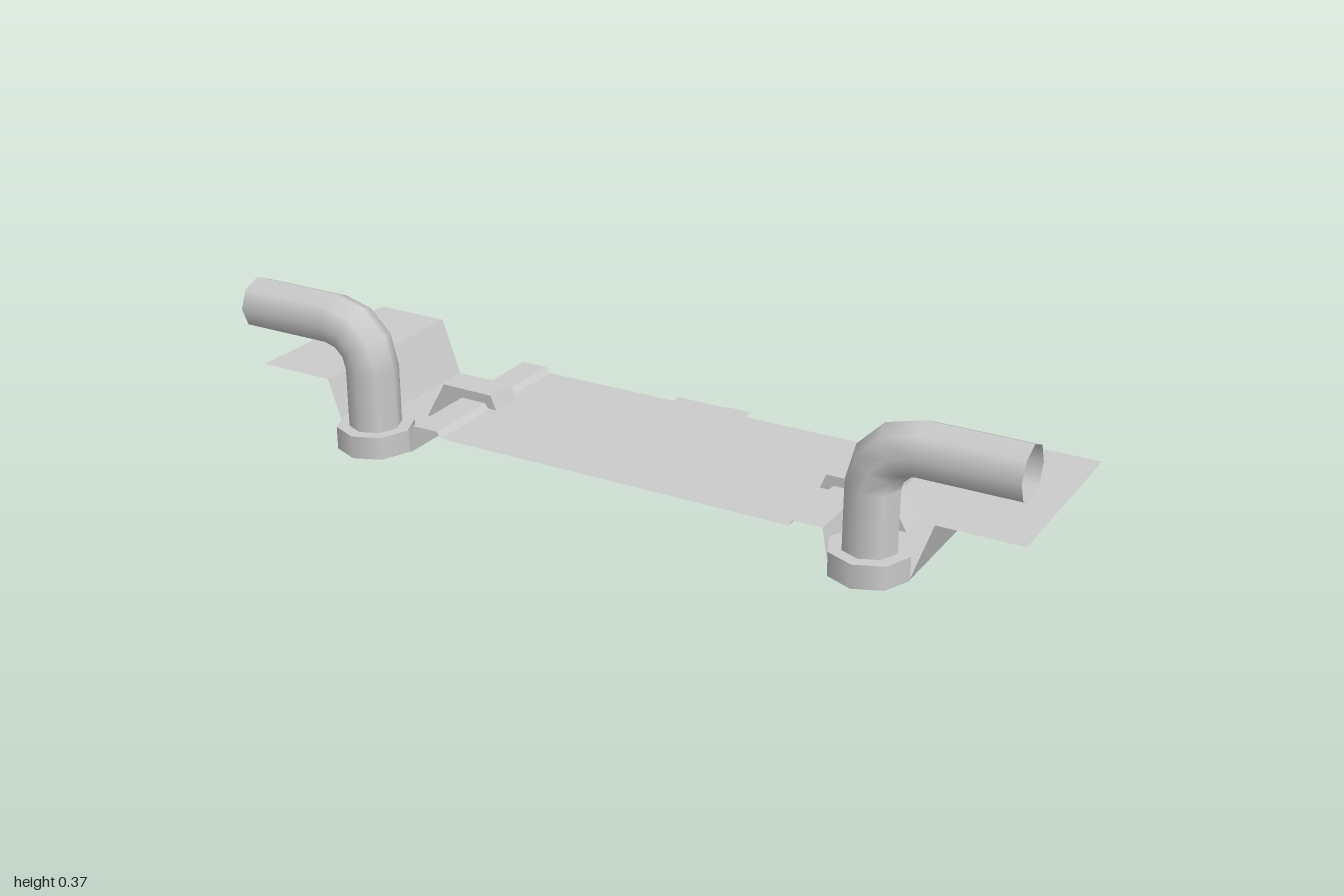
import * as THREE from 'three';

const smooth = new THREE.MeshStandardMaterial({ color: 0xcccccc, side: THREE.DoubleSide });
const flat = new THREE.MeshStandardMaterial({ color: 0xcccccc, side: THREE.DoubleSide, flatShading: true });

const BACK = -0.273, FRONT = 0.208, DECK = 0.058;
const PIPE_X = 0.657, PIPE_Z = 0.209, PIPE_R = 0.064, COLLAR_H = 0.057;

function add(parent, name, geometry, material) {
  const mesh = new THREE.Mesh(geometry, material);
  mesh.name = name;
  parent.add(mesh);
  return mesh;
}

// Folded sheet: an [x, y] profile drawn out along z
function foldedSheet(profile) {
  const v = [];
  for (let i = 0; i < profile.length - 1; i++) {
    const [x0, y0] = profile[i], [x1, y1] = profile[i + 1];
    v.push(x0, y0, FRONT, x1, y1, FRONT, x1, y1, BACK);
    v.push(x0, y0, FRONT, x1, y1, BACK, x0, y0, BACK);
  }
  const g = new THREE.BufferGeometry();
  g.setAttribute('position', new THREE.Float32BufferAttribute(v, 3));
  g.computeVertexNormals();
  return g;
}

// Eight-sided elbow pipe: an open cylinder whose rings follow the bend
function elbowPipe(side) {
  const bend = 0.105, cx = PIPE_X + bend, cy = 0.309 - bend;
  const path = [[PIPE_X, COLLAR_H, 0, 1]]; // x, y, tangent x, tangent y
  for (let i = 0; i <= 3; i++) {
    const a = (i / 3) * Math.PI / 2;
    path.push([cx - bend * Math.cos(a), cy + bend * Math.sin(a), Math.sin(a), Math.cos(a)]);
  }
  path.push([1, 0.309, 1, 0]);

  const g = new THREE.CylinderGeometry(1, 1, 1, 8, path.length - 1, true);
  const pos = g.attributes.position, nor = g.attributes.normal;
  for (let i = 0; i < pos.count; i++) {
    const [px, py, tx, ty] = path[Math.floor(i / 9)];
    const u = pos.getX(i), w = pos.getZ(i);
    const nx = -ty * u, ny = side * tx * u;
    pos.setXYZ(i, side * px + PIPE_R * nx, py + PIPE_R * ny, PIPE_Z + PIPE_R * w);
    nor.setXYZ(i, nx, ny, w);
  }
  return g;
}

// Clip that sits over the ridge, from the deck down to the outer shelf
function clip(side) {
  const outline = [
    [0.655, 0], [0.6, 0.097], [0.457, 0.097], [0.442, 0.061], [0.54, 0.061], [0.54, 0],
  ];
  const shape = new THREE.Shape(outline.map(([x, y]) => new THREE.Vector2(side * x, y)));
  const g = new THREE.ExtrudeGeometry(shape, { depth: 0.088, bevelEnabled: false });
  g.translate(0, 0, -0.044);
  // Slightly narrower towards the outer end
  const p = g.attributes.position;
  for (let i = 0; i < p.count; i++) {
    const k = 1 - 0.45 * (Math.abs(p.getX(i)) - 0.44);
    p.setZ(i, -0.038 + p.getZ(i) * k);
  }
  g.computeVertexNormals();
  return g;
}

export function createModel() {
  const model = new THREE.Group();
  model.name = 'pipeTray';

  // Tray: raised deck, a low ridge at each side, lower shelves and raised end panels
  const half = [
    [0.463, DECK], [0.475, 0.073], [0.545, 0.073], [0.557, 0],
    [0.75, 0], [0.8, 0.143], [1, 0.143],
  ];
  const mirrored = half.map(([x, y]) => [-x, y]).reverse();
  add(model, 'tray', foldedSheet([...mirrored, ...half]), flat);

  // Stepped tab on the back edge of the deck
  const tab = new THREE.Shape([
    [-0.097, 0.273], [0.107, 0.273], [0.107, 0.305], [0.04, 0.305], [0.04, 0.3], [-0.097, 0.3],
  ].map(([x, y]) => new THREE.Vector2(x, y)));
  const tabGeometry = new THREE.ShapeGeometry(tab);
  tabGeometry.rotateX(-Math.PI / 2);
  add(model, 'backTab', tabGeometry, flat).position.y = DECK;

  for (const side of [1, -1]) {
    const group = new THREE.Group();
    group.name = side > 0 ? 'leftPipeAssembly' : 'rightPipeAssembly';
    model.add(group);

    add(group, 'elbowPipe', elbowPipe(side), smooth);
    add(group, 'clip', clip(side), flat);

    // Collar: open below, with a flat rim around the pipe
    const wall = add(group, 'collarWall', new THREE.CylinderGeometry(0.095, 0.095, COLLAR_H, 8, 1, true), smooth);
    wall.position.set(side * PIPE_X, COLLAR_H / 2, PIPE_Z);
    const rimGeometry = new THREE.RingGeometry(PIPE_R, 0.095, 8);
    rimGeometry.rotateX(-Math.PI / 2);
    const rim = add(group, 'collarRim', rimGeometry, flat);
    rim.position.set(side * PIPE_X, COLLAR_H, PIPE_Z);
  }
  return model;
}
